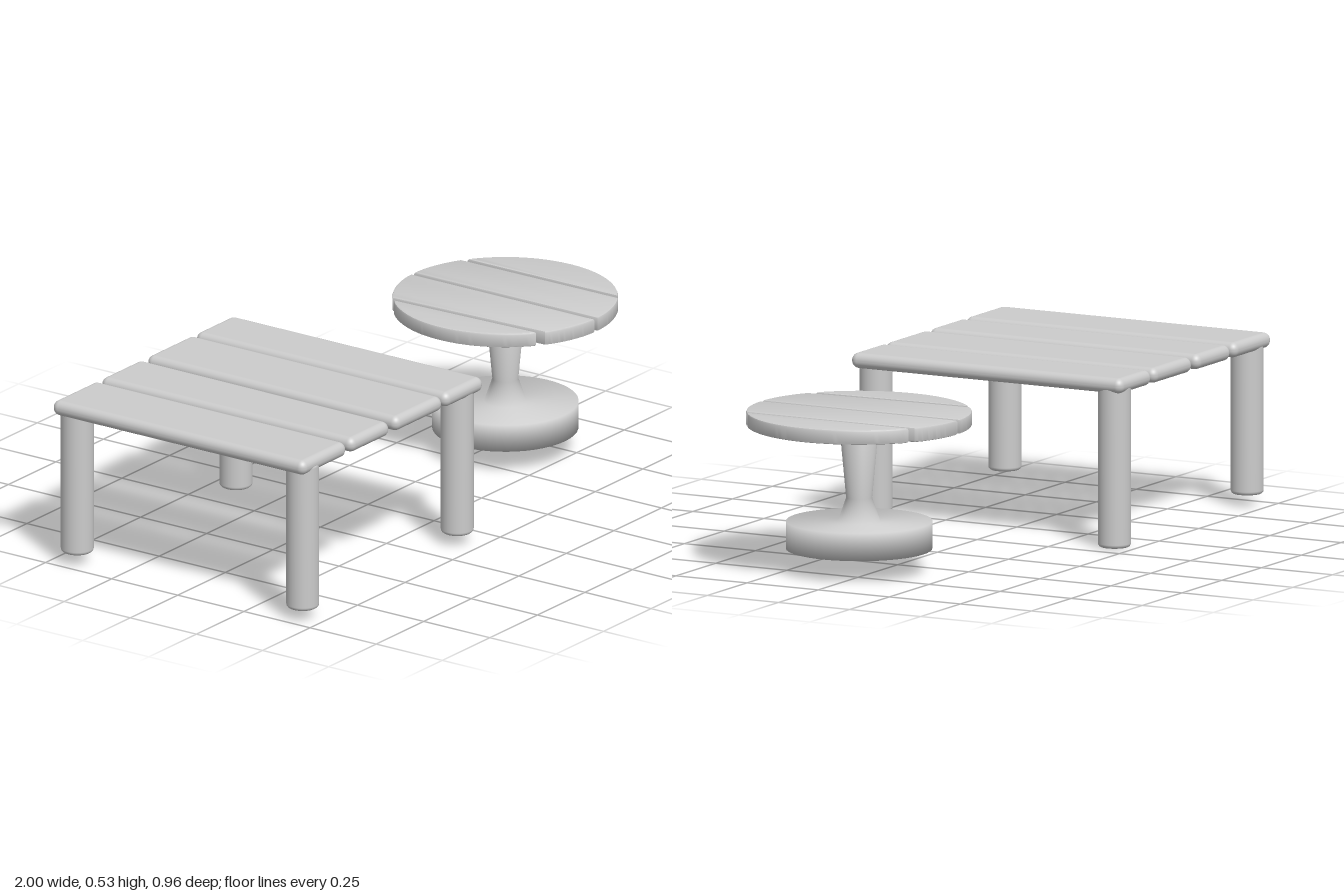
import * as THREE from 'three';
import { RoundedBoxGeometry } from 'three/addons/geometries/RoundedBoxGeometry.js';
import { toCreasedNormals } from 'three/addons/utils/BufferGeometryUtils.js';

const material = new THREE.MeshStandardMaterial({ color: 0xcccccc });

function add(parent, name, geometry, x = 0, y = 0, z = 0) {
  const mesh = new THREE.Mesh(geometry, material);
  mesh.name = name;
  mesh.position.set(x, y, z);
  parent.add(mesh);
  return mesh;
}

// Rounded plank whose side edges may slant: [left, right] at the back and at the front
function plankGeometry(back, front, z0, z1, height) {
  const geometry = new RoundedBoxGeometry(1, height, z1 - z0, 4, height * 0.48);
  const radius = height * 0.48;
  const p = geometry.attributes.position;
  for (let i = 0; i < p.count; i++) {
    const t = p.getZ(i) / (z1 - z0) + 0.5;
    const left = THREE.MathUtils.lerp(back[0], front[0], t);
    const right = THREE.MathUtils.lerp(back[1], front[1], t);
    const x = p.getX(i);
    // move each half rigidly so the rounding keeps its size
    p.setX(i, x < 0 ? x + 0.5 + left : x - 0.5 + right);
  }
  geometry.translate(0, 0, (z0 + z1) / 2);
  geometry.userData.radius = radius;
  return geometry;
}

// Round post with softened ends
function legGeometry(radius, y0, y1) {
  const b = 0.012;
  const profile = [new THREE.Vector2(0, y0)];
  for (let i = 0; i <= 4; i++) {
    const a = (i / 4) * Math.PI / 2;
    profile.push(new THREE.Vector2(radius - b + b * Math.sin(a), y0 + b - b * Math.cos(a)));
  }
  for (let i = 0; i <= 4; i++) {
    const a = (i / 4) * Math.PI / 2;
    profile.push(new THREE.Vector2(radius - b + b * Math.cos(a), y1 - b + b * Math.sin(a)));
  }
  profile.push(new THREE.Vector2(0, y1));
  return new THREE.LatheGeometry(profile, 32);
}

// Slice of a disc between two slanted cuts, given as x at the back and x at the front
function slatGeometry(radius, left, right, height) {
  const bevel = 0.006;
  const r = radius - bevel;
  const cut = ([xb, xf], inset, z) => THREE.MathUtils.lerp(xb, xf, (z / radius + 1) / 2) + inset;
  // z where a cut meets the rim on the given side
  const meet = (edge, inset, side) => {
    let z = side * r * 0.8;
    for (let i = 0; i < 12; i++) z = side * Math.sqrt(Math.max(0, r * r - cut(edge, inset, z) ** 2));
    return [cut(edge, inset, z), z];
  };
  const angle = ([x, z]) => Math.atan2(z, x);
  const shape = new THREE.Shape();
  const arc = (a0, a1) => {
    const n = 28;
    for (let i = 0; i <= n; i++) {
      const a = a0 + (a1 - a0) * i / n;
      const x = r * Math.cos(a), y = r * Math.sin(a);
      if (shape.curves.length === 0 && i === 0 && !shape.userData) {
        shape.moveTo(x, y);
        shape.userData = { started: true };
      } else shape.lineTo(x, y);
    }
  };
  const rightBack = right ? angle(meet(right, -bevel, -1)) : 0;
  const rightFront = right ? angle(meet(right, -bevel, 1)) : 0;
  const leftFront = left ? angle(meet(left, bevel, 1)) : Math.PI;
  const leftBack = left ? angle(meet(left, bevel, -1)) : -Math.PI;
  arc(rightFront, leftFront);
  arc(leftBack, rightBack);
  const geometry = new THREE.ExtrudeGeometry(shape, {
    depth: height - 2 * bevel, bevelEnabled: true, bevelSize: bevel,
    bevelThickness: bevel, bevelSegments: 2,
  });
  geometry.translate(0, 0, bevel - height);
  geometry.rotateX(Math.PI / 2); // shape y becomes z, thickness runs along y from 0 up
  return toCreasedNormals(geometry, 0.6);
}

function createBench() {
  const bench = new THREE.Group();
  bench.name = 'plankTable';
  const planks = [
    [[-1, -0.765], [-1, -0.765]],
    [[-0.745, -0.531], [-0.745, -0.539]],
    [[-0.503, -0.261], [-0.51, -0.261]],
    [[-0.247, -0.046], [-0.247, -0.046]],
  ];
  planks.forEach(([back, front], i) =>
    add(bench, `plank${i + 1}`, plankGeometry(back, front, -0.48, 0.475, 0.048), 0, 0.509, 0));

  // one leg is a little longer than the rest
  const legs = [
    ['frontRightLeg', -0.936, 0.426, 0.035],
    ['frontLeftLeg', -0.115, 0.42, 0.035],
    ['backRightLeg', -0.936, -0.426, 0.035],
    ['backLeftLeg', -0.1, -0.427, 0],
  ];
  for (const [name, x, z, y0] of legs) add(bench, name, legGeometry(0.051, y0, 0.51), x, 0, z);
  return bench;
}

function createRoundTable() {
  const table = new THREE.Group();
  table.name = 'roundTable';
  table.position.set(0.653, 0, 0.05);

  // cuts between slats, relative to the table centre
  const slats = [
    [null, [-0.236, -0.208]],
    [[-0.222, -0.19], [-0.013, -0.013]],
    [[0.003, 0.003], [0.18, 0.186]],
    [[0.194, 0.198], null],
  ];
  slats.forEach(([left, right], i) =>
    add(table, `slat${i + 1}`, slatGeometry(0.347, left, right, 0.046), 0, 0.455, 0));

  // heavy round foot with a waisted post, turned in one piece
  const profile = [[0, 0.071], [0.225, 0.071], [0.225, 0.157], [0.065, 0.157],
    [0.04, 0.23], [0.061, 0.456], [0, 0.456]].map(([r, y]) => new THREE.Vector2(r, y));
  add(table, 'pedestal', new THREE.LatheGeometry(profile, 48));
  return table;
}

export function createModel() {
  const model = new THREE.Group();
  model.name = 'outdoorTables';
  model.add(createBench(), createRoundTable());
  return model;
}
